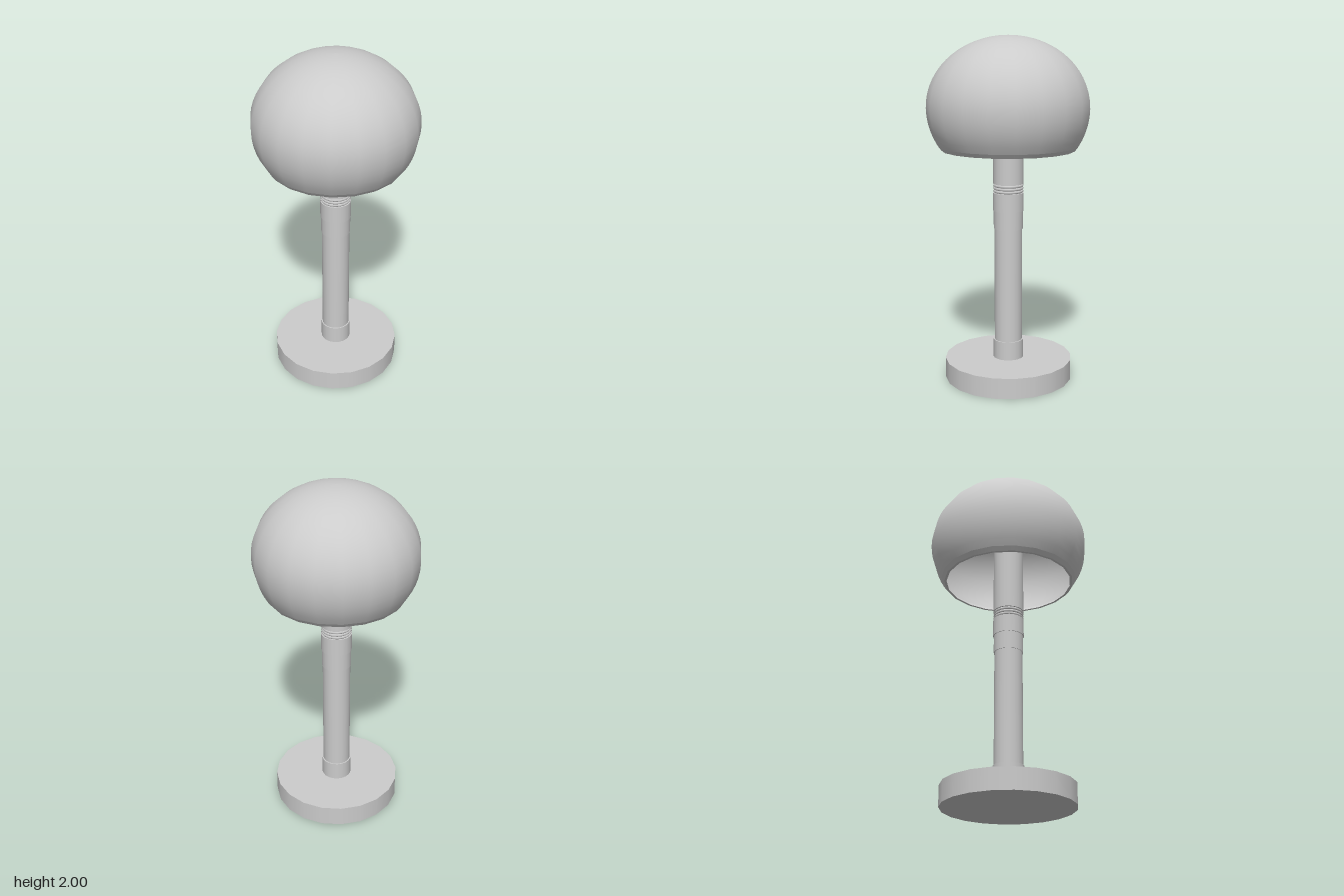
import * as THREE from 'three';

const SIDES = 20;

export function createModel() {
  const lamp = new THREE.Group();
  lamp.name = 'tableLamp';
  const grey = new THREE.MeshStandardMaterial({ color: 0xcccccc });
  const thin = new THREE.MeshStandardMaterial({ color: 0xcccccc, side: THREE.DoubleSide });

  const add = (name, geometry, material = grey, parent = lamp) => {
    const mesh = new THREE.Mesh(geometry, material);
    mesh.name = name;
    parent.add(mesh);
    return mesh;
  };
  // upright cylinder between two heights
  const column = (name, radius, y0, y1, parent) => {
    const mesh = add(name, new THREE.CylinderGeometry(radius, radius, y1 - y0, SIDES), grey, parent);
    mesh.position.y = (y0 + y1) / 2;
  };

  // base and stem
  column('base', 0.373, 0, 0.12);
  column('footCollar', 0.088, 0.12, 0.23);
  column('stem', 0.081, 0.12, 1.0);
  column('lowerSleeve', 0.085, 0.9, 1.005);
  column('upperSleeve', 0.089, 1.005, 1.11);

  // grooved neck: a narrow core with thin rings
  const neck = new THREE.Group();
  neck.name = 'groovedNeck';
  lamp.add(neck);
  column('neckCore', 0.08, 1.1, 1.17, neck);
  for (let i = 0; i < 3; i++) {
    const ring = add('neckRing', new THREE.TorusGeometry(0.08, 0.008, 6, SIDES), grey, neck);
    ring.rotation.x = Math.PI / 2;
    ring.position.y = 1.12 + i * 0.0165;
  }
  column('lampHolder', 0.088, 1.163, 1.65);

  // domed shade: taller squash below the widest line than above it
  const dome = (radius, top, bottom) => {
    const points = [];
    const start = Math.asin(-0.22 / bottom);
    for (let i = 0; i <= 20; i++) {
      const a = THREE.MathUtils.lerp(start, Math.PI / 2, i / 20);
      const s = Math.sin(a);
      points.push(new THREE.Vector2(Math.max(0, radius * Math.cos(a)), 1.6 + s * (s > 0 ? top : bottom)));
    }
    return points;
  };
  const shade = new THREE.Group();
  shade.name = 'shade';
  lamp.add(shade);
  const outer = dome(0.465, 0.4, 0.43);
  const inner = dome(0.45, 0.385, 0.43);
  add('shadeOuter', new THREE.LatheGeometry(outer, SIDES), grey, shade);
  add('shadeInner', new THREE.LatheGeometry(inner.slice().reverse(), SIDES), grey, shade);

  // turned-in rim closing the lower edge
  const rim = [
    [inner[0], [0.368, 1.357]],
    [[0.368, 1.357], [0.382, 1.357]],
    [[0.382, 1.357], outer[0]],
  ];
  for (const pair of rim) {
    const points = pair.map((p) => (p.isVector2 ? p : new THREE.Vector2(p[0], p[1])));
    add('shadeRim', new THREE.LatheGeometry(points, SIDES), thin, shade);
  }

  return lamp;
}
